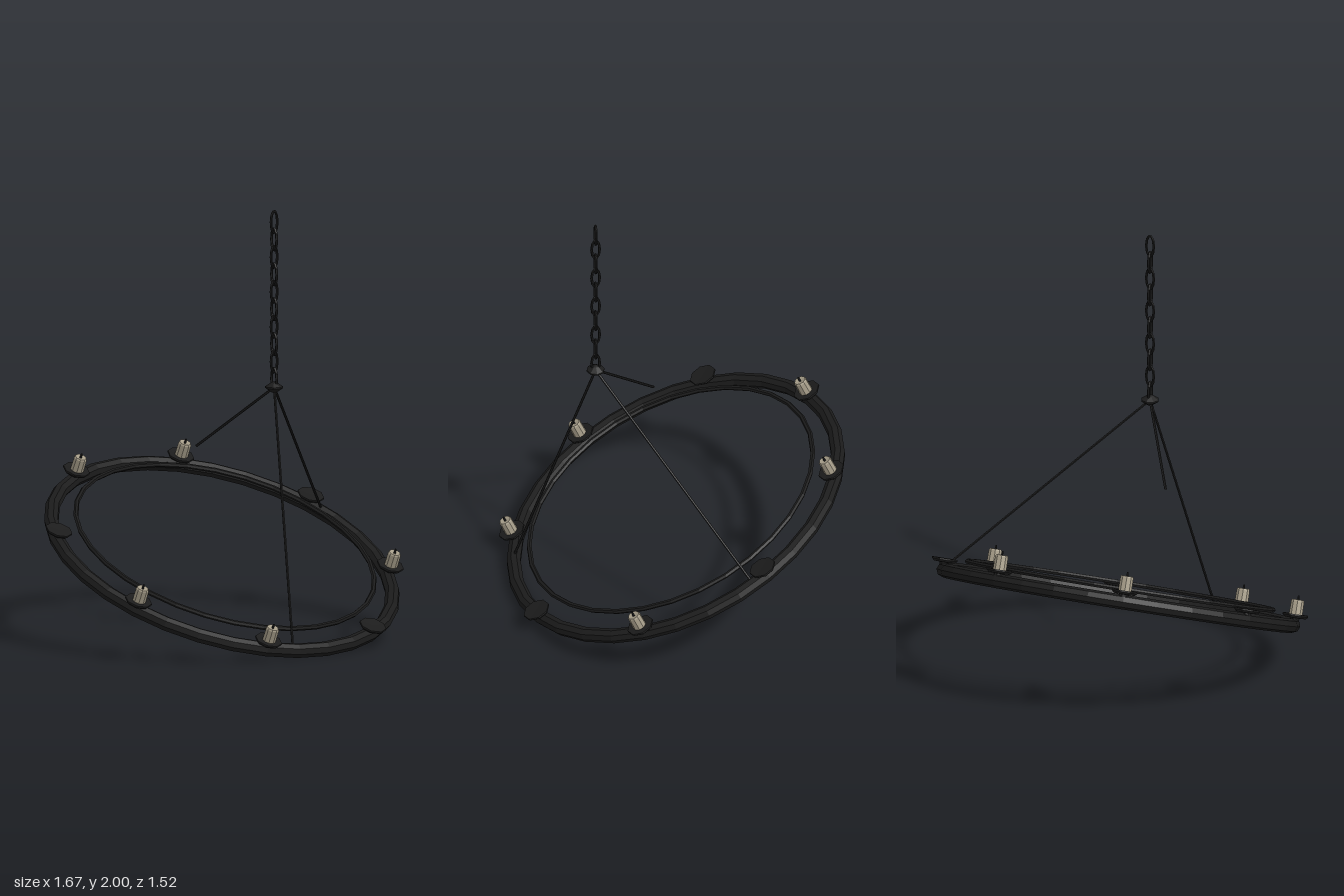
import * as THREE from 'three';

export function createModel() {
  const iron = new THREE.MeshStandardMaterial({ color: 0x1b1b1b, flatShading: true });
  iron.name = 'dark iron';
  const wax = new THREE.MeshStandardMaterial({ color: 0xa59c88, flatShading: true });
  wax.name = 'old wax';

  const model = new THREE.Group();
  const add = (parent, name, geometry, material, x = 0, y = 0, z = 0) => {
    const mesh = new THREE.Mesh(geometry, material);
    mesh.name = name;
    mesh.position.set(x, y, z);
    parent.add(mesh);
    return mesh;
  };
  const lathe = (profile, sides) =>
    new THREE.LatheGeometry(profile.map(([r, y]) => new THREE.Vector2(r, y)), sides);

  // Tilted wheel: everything inside is laid out flat, then leaned forward
  const wheel = new THREE.Group();
  wheel.name = 'tiltedWheel';
  wheel.position.set(0, 0.36, 0);
  wheel.rotation.x = THREE.MathUtils.degToRad(24);
  model.add(wheel);

  const hoop = (r, tube, sides) => new THREE.TorusGeometry(r, tube, sides, 32).rotateX(Math.PI / 2);
  add(wheel, 'outerRing', hoop(0.8, 0.0335, 8), iron);
  add(wheel, 'innerRing', hoop(0.7, 0.0115, 6), iron, 0, 0.055, 0);

  // Eight drip pans on short stems, five still holding a candle
  const panShape = lathe([[0.022, 0.022], [0.022, 0.034], [0.052, 0.036], [0.063, 0.046], [0.062, 0.053], [0, 0.05]], 8);
  const candleShape = lathe([[0.031, 0.046], [0.03, 0.112], [0.026, 0.119], [0.01, 0.115], [0, 0.115]], 9);
  const wickShape = new THREE.CylinderGeometry(0.004, 0.006, 0.024, 5);
  const hasCandle = [true, false, true, true, false, true, true, false];
  hasCandle.forEach((lit, i) => {
    // counted from front left (+x, +z) round towards the right side
    const a = Math.PI / 8 + (i * Math.PI) / 4;
    const holder = new THREE.Group();
    holder.name = 'candleHolder' + (i + 1);
    holder.position.set(Math.cos(a) * 0.803, 0, Math.sin(a) * 0.803);
    wheel.add(holder);
    add(holder, 'dripPan', panShape, iron);
    if (!lit) return;
    add(holder, 'candle', candleShape, wax, 0, 0, 0.003);
    add(holder, 'wick', wickShape, iron, 0, 0.125, 0.003);
  });

  // Hub where the wires meet
  const hub = new THREE.Vector3(0, 1.187, 0.369);
  add(model, 'hub', lathe([[0, -0.027], [0.014, -0.022], [0.041, -0.003], [0.041, 0.004], [0.014, 0.022], [0, 0.027]], 8),
    iron, hub.x, hub.y, hub.z);

  // Two taut wires and one that has snapped
  const wire = (name, x, y, z) => {
    const path = new THREE.LineCurve3(hub, new THREE.Vector3(x, y, z));
    add(model, name, new THREE.TubeGeometry(path, 1, 0.006, 6), iron);
  };
  wire('leftWire', 0.755, 0.475, -0.205);
  wire('frontWire', -0.175, 0.065, 0.71);
  wire('brokenWire', -0.205, 0.9, 0.065);

  // Chain of ten links, each turned a quarter from the last
  const link = new THREE.TorusGeometry(0.0185, 0.0065, 6, 10);
  const p = link.attributes.position;
  for (let i = 0; i < p.count; i++) {
    // stretch the loop upright while keeping the bar thickness
    const a = Math.atan2(p.getY(i), p.getX(i));
    p.setY(i, p.getY(i) + Math.sin(a) * 0.032);
  }
  link.computeVertexNormals();
  for (let i = 0; i < 10; i++) {
    const mesh = add(model, 'chainLink' + (i + 1), link, iron, 0, 1.945 - i * 0.08, hub.z);
    mesh.rotation.y = (i % 2) * Math.PI / 2;
  }
  return model;
}
